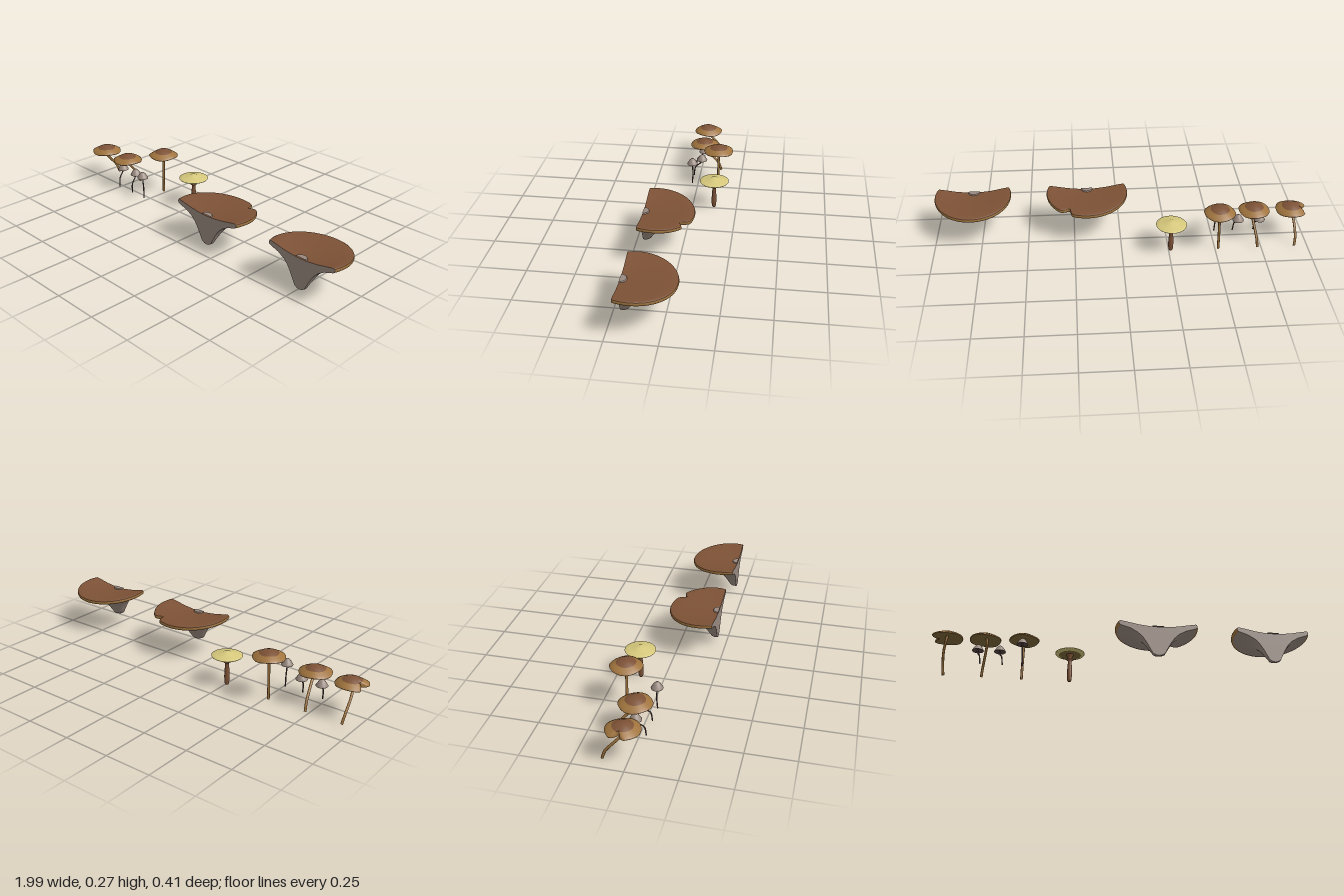
import * as THREE from 'three';

const mat = (name, color, side = THREE.FrontSide) => {
  const m = new THREE.MeshStandardMaterial({ color, side });
  m.name = name;
  return m;
};
const V2 = (p) => new THREE.Vector2(p[0], p[1]);

export function createModel() {
  const root = new THREE.Group();
  const brown = mat('brown', 0x7d5236, THREE.DoubleSide);
  const ochre = mat('ochre', 0xa0743e, THREE.DoubleSide);
  const yellow = mat('paleYellow', 0xd6c87c);
  const gill = mat('oliveGill', 0x7d6838);
  const grey = mat('warmGrey', 0x9a8a80, THREE.DoubleSide);
  const dark = mat('darkStem', 0x5a4444);

  const add = (parent, name, geo, material, x = 0, y = 0, z = 0) => {
    const m = new THREE.Mesh(geo, material);
    m.name = name;
    m.position.set(x, y, z);
    parent.add(m);
    return m;
  };
  const group = (name) => {
    const g = new THREE.Group();
    g.name = name;
    root.add(g);
    return g;
  };
  const lathe = (pts, seg = 32) => new THREE.LatheGeometry(pts.map(V2), seg);
  const tube = (pts, r) => new THREE.TubeGeometry(
    new THREE.CatmullRomCurve3(pts.map((p) => new THREE.Vector3(...p))), 20, r, 8);

  // Wavy brown caps, optionally with a wedge bitten out towards -x
  const wave = (geo, phase, bite) => {
    const p = geo.attributes.position;
    for (let i = 0; i < p.count; i++) {
      const x = p.getX(i), z = p.getZ(i), r = Math.hypot(x, z), a = Math.atan2(z, x);
      let k = 1;
      if (bite && r > 0.04) {
        const d = Math.abs(Math.atan2(Math.sin(a - 3.3), Math.cos(a - 3.3)));
        if (d < 0.42) k = Math.min(1, (0.042 + 0.041 * d / 0.42) / r);
      }
      p.setXYZ(i, x * k, p.getY(i) + 0.003 * Math.sin(3 * a + phase) * (r / 0.08) ** 2, z * k);
    }
    geo.computeVertexNormals();
    return geo;
  };
  const brownCaps = [
    { at: [-0.917, 0.165, -0.022], bite: true, stem: [[-0.93, 0.003, -0.122], [-0.935, 0.05, -0.105],
      [-0.932, 0.115, -0.052], [-0.922, 0.155, -0.018], [-0.917, 0.182, -0.015]] },
    { at: [-0.717, 0.165, -0.02], bite: false, stem: [[-0.73, 0.003, -0.122], [-0.725, 0.05, -0.105],
      [-0.713, 0.115, -0.052], [-0.707, 0.155, -0.018], [-0.71, 0.182, -0.015]] },
    { at: [-0.512, 0.225, -0.122], bite: false, stem: [[-0.517, 0.003, -0.122], [-0.516, 0.08, -0.122],
      [-0.514, 0.16, -0.122], [-0.512, 0.243, -0.122]] },
  ];
  brownCaps.forEach(({ at, bite, stem }, i) => {
    const g = group('brownMushroom' + (i + 1));
    add(g, 'stem', tube(stem, 0.007), ochre);
    add(g, 'gills', wave(lathe([[0, 0.018], [0.03, 0.015], [0.06, 0.008], [0.081, 0.005]], 40), i, bite), gill, ...at);
    add(g, 'capRim', wave(lathe([[0.081, 0.005], [0.083, 0.01], [0.068, 0.02], [0.05, 0.03]], 40), i, bite), ochre, ...at);
    add(g, 'capCentre', wave(lathe([[0.05, 0.03], [0.035, 0.038], [0.018, 0.043], [0, 0.045]], 40), i, bite), brown, ...at);
  });

  // Flat yellow mushroom with a ringed stem
  const y = group('yellowMushroom');
  const yAt = [-0.26, 0, -0.122];
  add(y, 'stem', lathe([[0, 0.003], [0.008, 0.005], [0.012, 0.014], [0.014, 0.05], [0.012, 0.09], [0.01, 0.12],
    [0.012, 0.128], [0.021, 0.133], [0.013, 0.138], [0.011, 0.145], [0.019, 0.158], [0.02, 0.168]], 20), brown, ...yAt);
  add(y, 'gills', lathe([[0, 0.166], [0.03, 0.162], [0.06, 0.16]]), gill, ...yAt);
  add(y, 'cap', lathe([[0.06, 0.16], [0.078, 0.166], [0.081, 0.17], [0.06, 0.175], [0.035, 0.18],
    [0.02, 0.187], [0, 0.19]]), yellow, ...yAt);

  // Small grey bell mushrooms
  const bells = [
    { at: [-0.522, 0.134, 0.033], base: [-0.517, 0.01, 0.033], mid: [-0.52, 0.07, 0.03] },
    { at: [-0.637, 0.105, -0.012], base: [-0.62, 0.01, 0.034], mid: [-0.626, 0.062, 0.026] },
    { at: [-0.752, 0.105, -0.012], base: [-0.735, 0.01, 0.034], mid: [-0.741, 0.062, 0.026] },
  ];
  bells.forEach(({ at, base, mid }, i) => {
    const g = group('greyBellMushroom' + (i + 1));
    const top = [at[0], at[1] + 0.015, at[2]];
    const below = [at[0], at[1] - 0.015, at[2] + (mid[2] - at[2]) * 0.2];
    add(g, 'stem', tube([base, mid, below, top], 0.0035), dark);
    add(g, 'gills', lathe([[0, 0.01], [0.015, 0.007], [0.03, 0]], 20), dark, ...at);
    add(g, 'cap', lathe([[0.03, 0], [0.031, 0.003], [0.026, 0.011], [0.018, 0.025], [0.009, 0.034], [0, 0.037]], 20), grey, ...at);
  });

  // Half-round bracket mushrooms, cut flat at the front
  const under = [[0, 0.037], [0.07, 0.039], [0.15, 0.048], [0.22, 0.075], [0.3, 0.105], [0.4, 0.135],
    [0.52, 0.157], [0.7, 0.174], [0.95, 0.182]];
  const rim = [[0.95, 0.182], [0.99, 0.186], [1, 0.194], [0.99, 0.202]];
  const top = [[0.99, 0.202], [0.96, 0.207], [0.8, 0.207], [0.5, 0.203], [0.2, 0.2], [0, 0.2]];
  const brackets = [
    { x: 0.175, wide: 1.07, notch: 0.16 },
    { x: 0.791, wide: 1, notch: 0 },
  ];
  brackets.forEach(({ x, wide, notch }, i) => {
    const g = group('bracketMushroom' + (i + 1));
    // Maps a unit half disc to the cap outline, raising its sides
    const place = (f, h, a) => {
      const c = Math.cos(a), s = Math.sin(a);
      let r = 0.065 * s + Math.sqrt(0.205 ** 2 - (0.065 * c) ** 2);
      r *= 1 - notch * f ** 4 * Math.exp(-(((a - 1.15) / 0.075) ** 2));
      return [f * r * c * wide, h + 0.021 * f * f * c * c, -f * r * s];
    };
    const half = (pts) => {
      const geo = new THREE.LatheGeometry(pts.map(V2), 64, Math.PI / 2, Math.PI);
      const p = geo.attributes.position;
      for (let k = 0; k < p.count; k++) {
        const px = p.getX(k), pz = p.getZ(k);
        p.setXYZ(k, ...place(Math.hypot(px, pz), p.getY(k), Math.atan2(Math.max(0, -pz), px)));
      }
      geo.computeVertexNormals();
      return geo;
    };
    add(g, 'underside', half(under), grey, x, 0, 0.205);
    add(g, 'rim', half(rim), ochre, x, 0, 0.205);
    add(g, 'capTop', half(top), brown, x, 0, 0.205);
    // Flat cut face
    const side = [...under, ...rim.slice(1), ...top.slice(1)];
    const right = side.map(([f, h]) => V2(place(f, h, 0)));
    const left = side.slice(1, -1).reverse().map(([f, h]) => V2(place(f, h, Math.PI)));
    add(g, 'cutFace', new THREE.ShapeGeometry(new THREE.Shape([...right, ...left])), grey, x, 0, 0.205);
    // Stem top showing in the middle of the cap
    add(g, 'stemTop', new THREE.CylinderGeometry(0.03, 0.037, 0.016, 16, 1, false, Math.PI / 2, Math.PI),
      grey, x, 0.198, 0.205);
  });
  return root;
}
